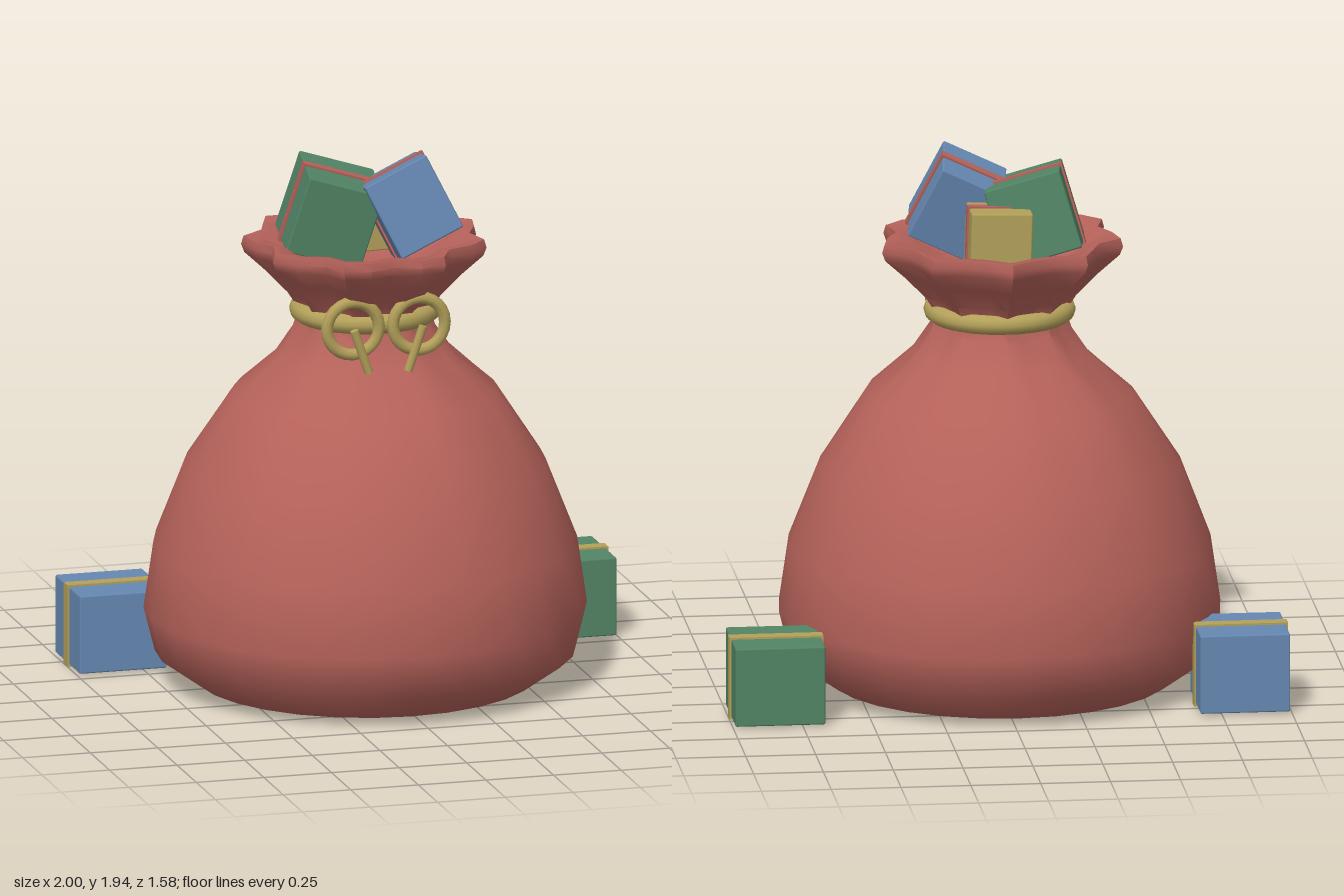
import * as THREE from 'three';
import { mergeVertices, toCreasedNormals } from 'three/addons/utils/BufferGeometryUtils.js';
import { RoundedBoxGeometry } from 'three/addons/geometries/RoundedBoxGeometry.js';

const material = (color) => new THREE.MeshStandardMaterial({ color });
const RED = material(0xb5625a);
const GREEN = material(0x528566);
const BLUE = material(0x6688b2);
const GOLD = material(0xb3a05a);

function add(parent, name, geometry, mat, x = 0, y = 0, z = 0) {
  const mesh = new THREE.Mesh(geometry, mat);
  mesh.name = name;
  mesh.position.set(x, y, z);
  parent.add(mesh);
  return mesh;
}

// Wrapped box with one ribbon band running round it in its x-y plane
function present(parent, name, size, position, rotation, boxMat, ribbonMat, band = 0.045) {
  const [w, h, d] = size;
  const group = new THREE.Group();
  group.name = name;
  add(group, 'wrappedBox', new RoundedBoxGeometry(w, h, d, 1, 0.006), boxMat);
  add(group, 'ribbon', new THREE.BoxGeometry(w + 0.014, h + 0.014, band), ribbonMat);
  group.position.set(...position);
  group.rotation.set(...rotation);
  parent.add(group);
}

// Lathe whose radius is pleated: each point is [radius, height, pleat depth]
function sackGeometry() {
  const profile = [
    [0, 0.01, 0], [0.61, 0.01, 0], [0.75, 0.11, 0], [0.79, 0.27, 0], [0.755, 0.51, 0],
    [0.645, 0.8, 0.004], [0.475, 1.06, 0.008], [0.315, 1.2, 0.012], [0.245, 1.3, 0.014],
    [0.225, 1.36, 0.014], [0.26, 1.42, 0.018], [0.33, 1.5, 0.026], [0.4, 1.57, 0.034],
    [0.41, 1.6, 0.036], [0.402, 1.63, 0.035], [0.355, 1.625, 0.03], [0.27, 1.57, 0.02],
    [0.18, 1.53, 0.008], [0, 1.52, 0],
  ];
  const sides = 28;
  const lathe = new THREE.LatheGeometry(profile.map(([r, y]) => new THREE.Vector2(r, y)), sides);
  const p = lathe.attributes.position;
  for (let i = 0; i < p.count; i++) {
    const [r, y, depth] = profile[i % profile.length];
    const angle = (Math.floor(i / profile.length) / sides) * Math.PI * 2;
    const radius = r - depth * Math.cos(9 * angle);
    p.setXYZ(i, radius * Math.sin(angle), y, radius * Math.cos(angle));
  }
  lathe.deleteAttribute('uv');
  lathe.deleteAttribute('normal');
  return toCreasedNormals(mergeVertices(lathe), 0.8);
}

export function createModel() {
  const model = new THREE.Group();
  model.name = 'giftSack';

  // Sack and everything tied to it sits slightly off centre
  const sack = new THREE.Group();
  sack.name = 'sack';
  sack.position.x = -0.02;
  model.add(sack);
  add(sack, 'sackBody', sackGeometry(), RED);

  // Cord round the neck
  const cord = add(sack, 'neckCord', new THREE.TorusGeometry(0.235, 0.036, 10, 36), GOLD, 0, 1.36, 0);
  cord.rotation.x = Math.PI / 2;

  // Bow loops and hanging cord ends
  for (const side of [-1, 1]) {
    add(sack, 'bowLoop', new THREE.TorusGeometry(0.096, 0.022, 8, 24), GOLD, side * 0.122, 1.36, 0.27);
    const end = add(sack, 'cordEnd', new THREE.CylinderGeometry(0.016, 0.016, 0.17, 8), GOLD,
      side * 0.1, 1.28, 0.305);
    end.rotation.z = -side * 0.33;
  }

  // Presents showing in the mouth of the sack
  present(model, 'greenSackPresent', [0.28, 0.29, 0.29], [-0.14, 1.715, -0.04], [0.1, -0.14, -0.28], GREEN, RED, 0.035);
  present(model, 'blueSackPresent', [0.25, 0.29, 0.245], [0.125, 1.74, 0.06], [-0.2, -0.12, 0.43], BLUE, RED, 0.035);
  present(model, 'goldSackPresent', [0.22, 0.22, 0.2], [0, 1.66, -0.15], [0, 0, 0.03], GOLD, RED, 0.035);

  // Presents on the floor either side
  for (const side of [-1, 1]) {
    present(model, 'floorPresent', [0.322, 0.286, 0.322], [side * 0.832, 0.15, -0.45], [0, 0, 0],
      side < 0 ? BLUE : GREEN, GOLD, 0.05);
  }
  return model;
}
